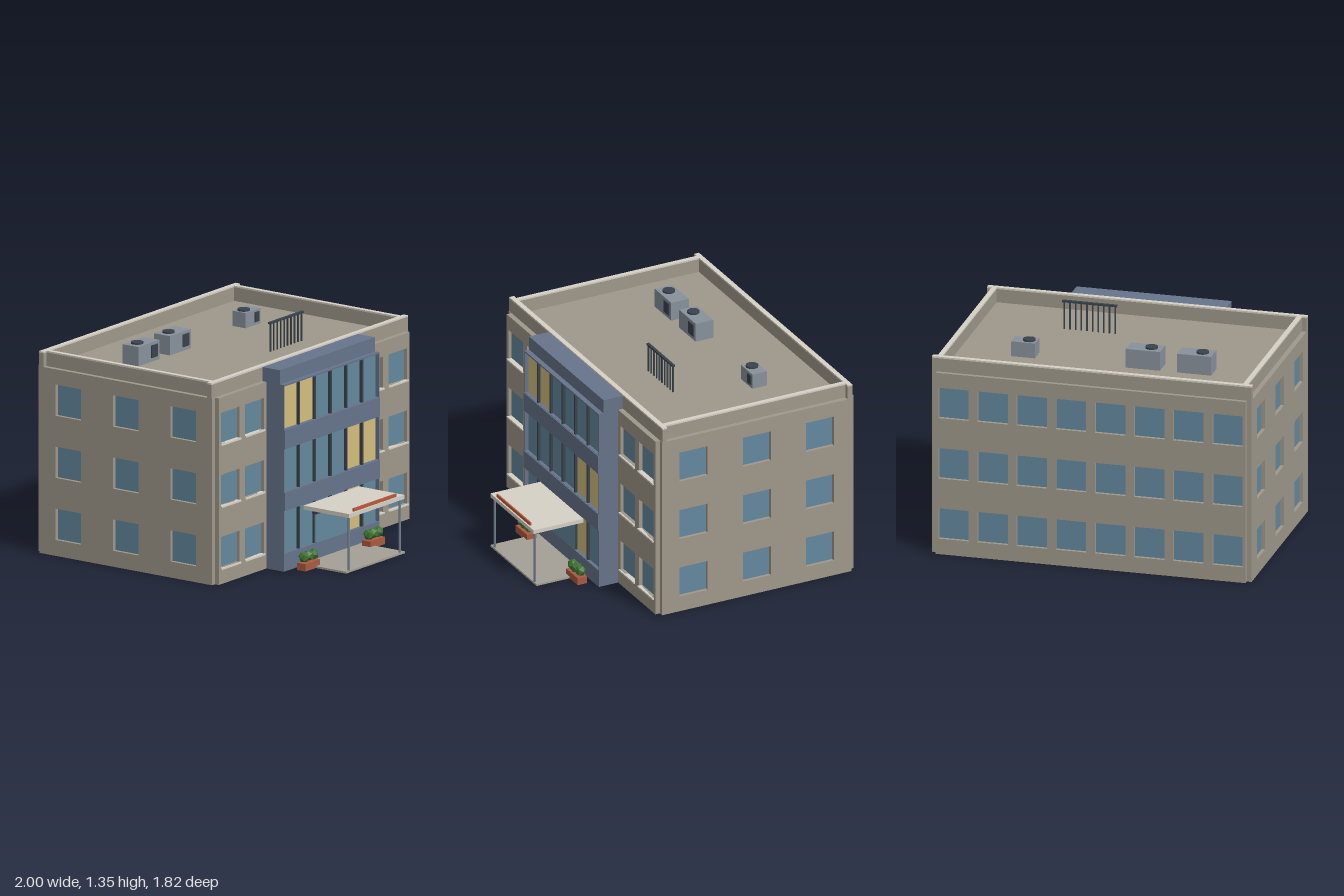
import * as THREE from 'three';

const mat = (color) => new THREE.MeshStandardMaterial({ color, flatShading: true });

export function createModel() {
  const M = {
    wall: mat(0x9f988b), trim: mat(0xd6d1c7), blue: mat(0x66748a), glass: mat(0x64899f),
    lit: mat(0xd4be7c), dark: mat(0x3a434c), brick: mat(0xa95a40), green: mat(0x3f7232),
    metal: mat(0x88929c), paving: mat(0xa5a096), post: mat(0x75828c), orange: mat(0xbb5a3c),
  };
  const model = new THREE.Group();
  model.name = 'officeBuilding';

  const add = (name, geo, material, parent = model) => {
    const mesh = new THREE.Mesh(geo, material);
    mesh.name = name;
    parent.add(mesh);
    return mesh;
  };
  // box given by its limits along each axis
  const box = (name, material, x0, x1, y0, y1, z0, z1, parent) => {
    const mesh = add(name, new THREE.BoxGeometry(x1 - x0, y1 - y0, z1 - z0), material, parent);
    mesh.position.set((x0 + x1) / 2, (y0 + y1) / 2, (z0 + z1) / 2);
    return mesh;
  };
  // upright slab with rectangular holes [x0, x1, y0, y1], facing +z
  const wallPanel = (name, material, x0, x1, height, depth, holes, parent) => {
    const rect = (path, a, b, c, d) =>
      path.moveTo(a, c).lineTo(b, c).lineTo(b, d).lineTo(a, d).closePath();
    const shape = rect(new THREE.Shape(), x0, x1, 0, height);
    for (const h of holes) shape.holes.push(rect(new THREE.Path(), ...h));
    return add(name, new THREE.ExtrudeGeometry(shape, { depth, bevelEnabled: false }), material, parent);
  };

  const EAVES = 1.165, TOP = 1.26, FRONT = 0.41, BACK = -0.88, SIDE = 0.97, T = 0.03;
  const floors = [0.1, 0.487, 0.875];

  // Main body
  box('buildingCore', M.wall, -SIDE, SIDE, 0, EAVES, BACK, FRONT);

  // Window walls
  const facade = (name, half, centres, sills) => {
    const g = new THREE.Group();
    g.name = name;
    const holes = [];
    for (const c of centres) for (const y of floors) {
      const h = [c - 0.095, c + 0.095, y, y + 0.195];
      holes.push(h);
      box('windowGlass', M.glass, ...h, -0.005, 0.008, g);
      if (sills) box('windowSill', M.trim, c - 0.1, c + 0.1, y - 0.01, y, 0.005, 0.04, g);
    }
    wallPanel('wallPanel', M.wall, -half, half, EAVES, T, holes, g);
    model.add(g);
    return g;
  };
  facade('frontWall', SIDE, [-0.852, -0.607, 0.607, 0.852], true).position.z = FRONT;
  const back = facade('backWall', SIDE, [-3.5, -2.5, -1.5, -0.5, 0.5, 1.5, 2.5, 3.5].map((k) => k * 0.245), false);
  back.position.z = BACK;
  back.rotation.y = Math.PI;
  for (const s of [1, -1]) {
    const wall = facade(s > 0 ? 'leftWall' : 'rightWall', (FRONT - BACK) / 2, [-0.43, 0, 0.43], false);
    wall.position.set(s * SIDE, 0, (FRONT + BACK) / 2);
    wall.rotation.y = s * Math.PI / 2;
  }

  // Parapet with pale coping
  const parapet = (x0, x1, z0, z1) => {
    box('parapet', M.wall, x0, x1, EAVES, TOP - 0.01, z0, z1);
    box('parapetCoping', M.trim, x0, x1, TOP - 0.01, TOP, z0, z1);
  };
  parapet(-1, 1, FRONT - 0.035, FRONT - 0.003);
  parapet(-1, 1, BACK - 0.005, BACK + 0.027);
  for (const s of [-1, 1]) parapet(s * 0.955 - 0.015, s * 0.955 + 0.015, BACK + 0.027, FRONT - 0.035);

  // Central glazed bay
  const bay = new THREE.Group();
  bay.name = 'entranceBay';
  model.add(bay);
  box('bayCore', M.blue, -0.485, 0.485, 0, 1.253, FRONT, 0.54, bay);
  const rows = [[0.11, 0.38], [0.495, 0.765], [0.885, 1.155]];
  const litPanes = ['2,0', '2,1', '1,4', '1,5', '0,4'];
  wallPanel('bayFrame', M.blue, -0.485, 0.485, EAVES, 0.032, rows.map((r) => [-0.48, 0.48, ...r]), bay).position.z = 0.54;
  rows.forEach(([y0, y1], r) => {
    for (let i = 0; i < 6; i++) {
      const c = (i - 2.5) * 0.161;
      box('bayPane', litPanes.includes(`${r},${i}`) ? M.lit : M.glass, c - 0.074, c + 0.074, y0, y1, 0.535, 0.55, bay);
      if (i) box('mullion', M.dark, c - 0.087, c - 0.074, y0, y1, 0.535, 0.568, bay);
    }
    if (r < 2) box('spandrelBand', M.blue, -0.485, 0.485, y1, rows[r + 1][0] - 0.002, 0.57, 0.578, bay);
  });
  box('entranceDoor', M.glass, -0.167, 0.163, 0.11, 0.295, 0.55, 0.573, bay);
  box('doorHeadBar', M.dark, -0.17, 0.166, 0.293, 0.307, 0.55, 0.583, bay);

  // Porch
  const porch = new THREE.Group();
  porch.name = 'porch';
  model.add(porch);
  box('porchFloor', M.paving, -0.3, 0.3, 0, 0.012, 0.572, 0.9, porch);
  box('canopy', M.trim, -0.282, 0.282, 0.345, 0.37, 0.57, 0.91, porch);
  box('canopyStrip', M.orange, -0.22, 0.215, 0.37, 0.39, 0.89, 0.9, porch);
  for (const s of [-1, 1]) {
    const post = add('canopyPost', new THREE.CylinderGeometry(0.008, 0.008, 0.335, 8), M.post, porch);
    post.position.set(s * 0.26, 0.179, 0.89);
  }

  // Planters with shrubs
  for (const s of [-1, 1]) {
    const g = new THREE.Group();
    g.name = 'planter';
    box('planterBox', M.brick, -0.075, 0.075, 0, 0.046, -0.032, 0.032, g);
    for (let i = -1; i <= 1; i++) {
      const shrub = add('shrub', new THREE.IcosahedronGeometry(0.036, 0), M.green, g);
      shrub.position.set(i * 0.047, 0.08, 0);
      shrub.rotation.y = i * 0.8;
    }
    g.position.set(s * 0.33, 0, 0.642);
    model.add(g);
  }

  // Rooftop air units: left edge, width, depth, height
  for (const [x, w, d, h] of [[-0.648, 0.215, 0.12, 0.12], [-0.328, 0.215, 0.12, 0.12], [0.458, 0.15, 0.1, 0.095]]) {
    const g = new THREE.Group();
    g.name = 'airUnit';
    box('airUnitBody', M.metal, 0, w, 0, h, -d / 2, d / 2, g);
    box('airUnitGrille', M.dark, w * 0.6, w * 0.9, h * 0.2, h * 0.85, d / 2, d / 2 + 0.006, g);
    const fan = add('airUnitFan', new THREE.CylinderGeometry(0.038, 0.038, 0.012, 16), M.dark, g);
    fan.position.set(w * 0.32, h + 0.005, 0);
    g.position.set(x, EAVES, -0.46);
    model.add(g);
  }

  // Rooftop railing
  const railing = new THREE.Group();
  railing.name = 'roofRailing';
  model.add(railing);
  box('handrail', M.dark, 0.093, 0.435, 1.338, 1.35, 0.026, 0.044, railing);
  for (let i = 0; i < 10; i++) {
    const x = 0.105 + i * 0.0353;
    box('baluster', M.dark, x - 0.004, x + 0.004, EAVES, 1.34, 0.031, 0.039, railing);
  }
  return model;
}
